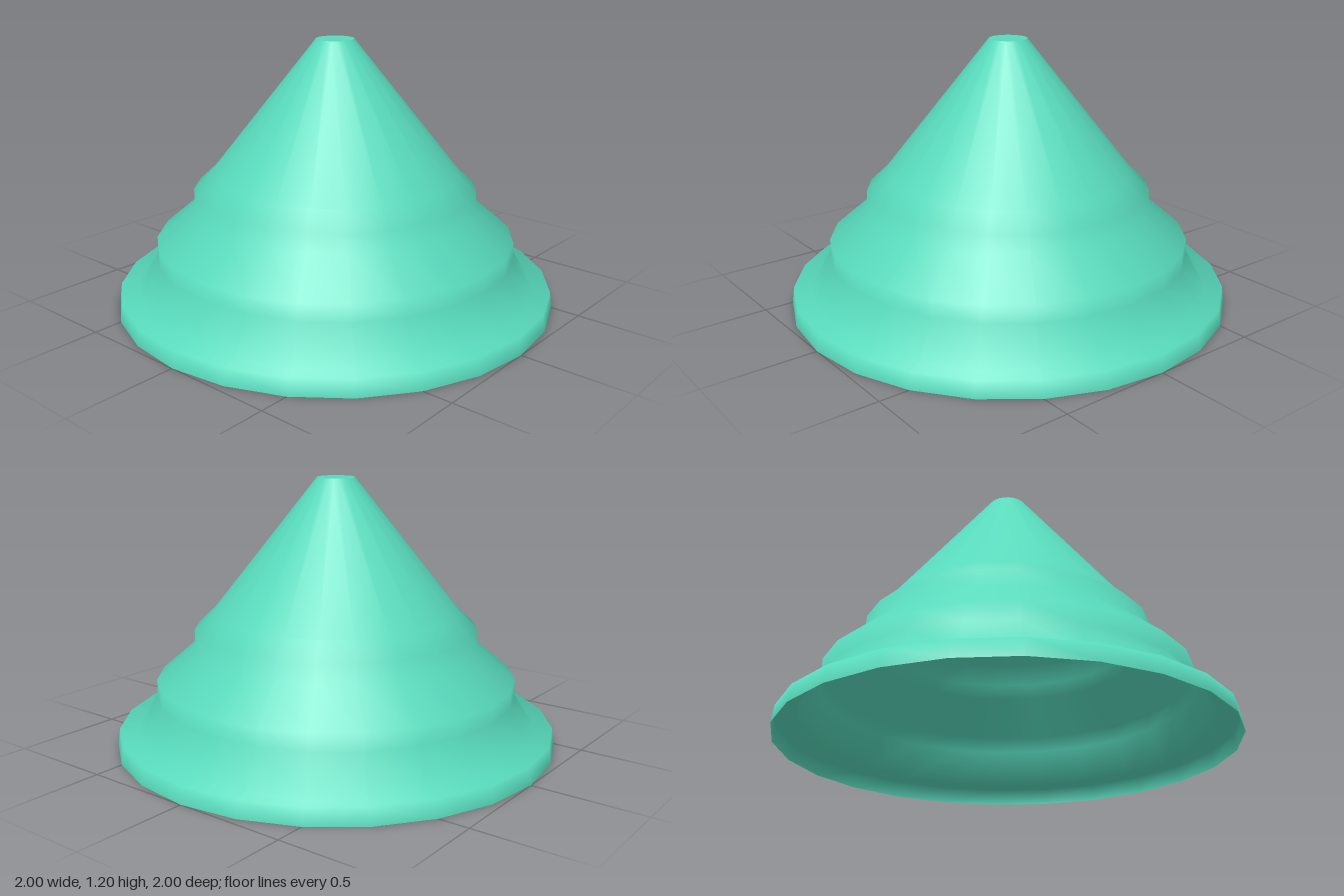
import * as THREE from 'three';

const SEGMENTS = 24;

export function createModel() {
  const group = new THREE.Group();
  group.name = 'steppedCone';
  const material = new THREE.MeshStandardMaterial({ color: 0x58dabc, side: THREE.DoubleSide });

  // Hollow shell: base lip, two stepped tiers and the upper cone, open below
  const profile = [
    [1, 0], [0.99, 0.075], [0.91, 0.075],
    [0.815, 0.225], [0.815, 0.3],
    [0.64, 0.45], [0.64, 0.525],
    [0.56, 0.6], [0.085, 1.2],
  ].map(([r, y]) => new THREE.Vector2(r, y));
  const shell = new THREE.Mesh(new THREE.LatheGeometry(profile, SEGMENTS), material);
  shell.name = 'shell';
  group.add(shell);

  // Flat disc closing the tip
  const cap = new THREE.Mesh(new THREE.CircleGeometry(0.085, SEGMENTS), material);
  cap.name = 'topCap';
  cap.rotation.x = -Math.PI / 2;
  cap.position.y = 1.2;
  group.add(cap);

  return group;
}
